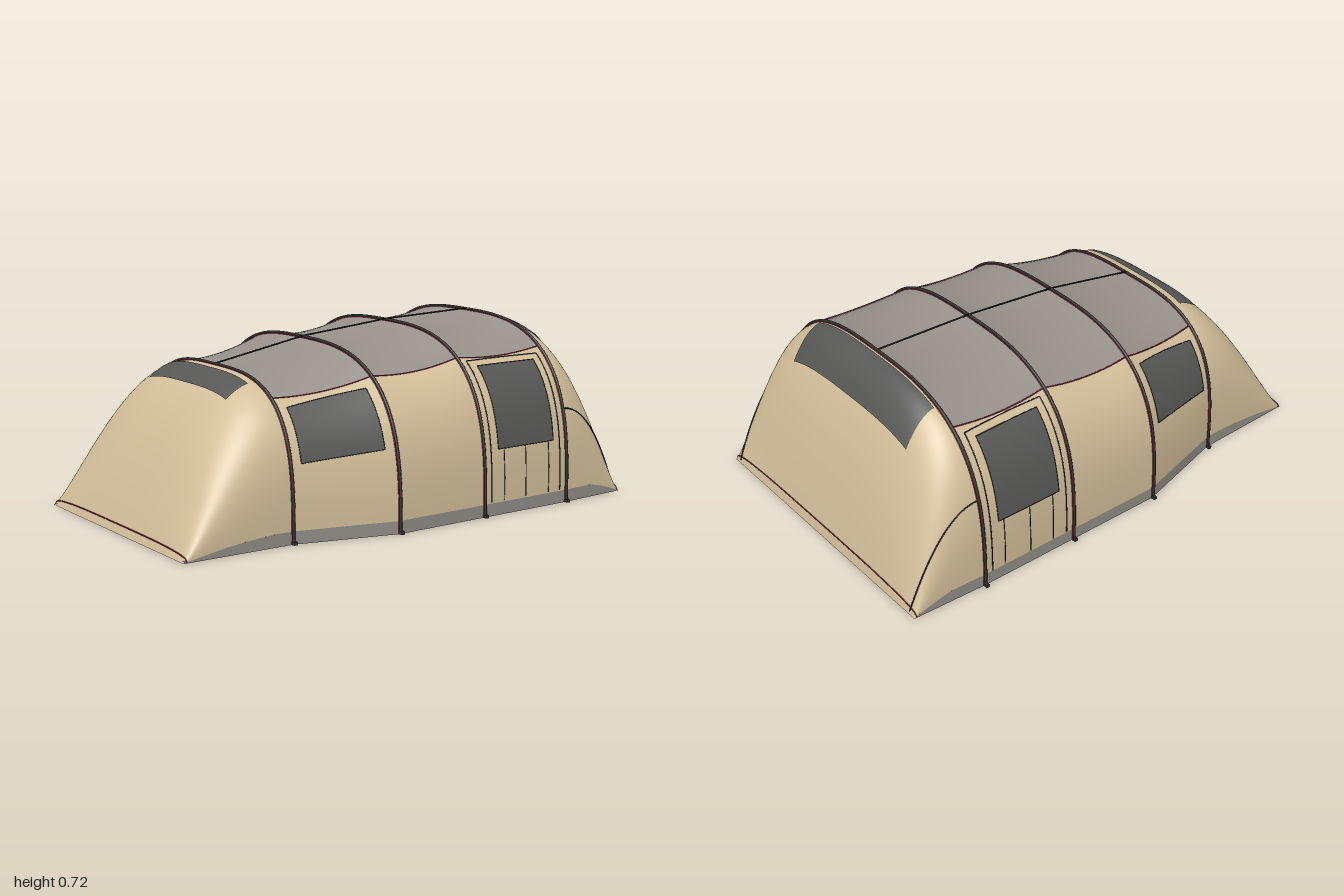
import * as THREE from 'three';

const mat = (name, color) => {
  const m = new THREE.MeshStandardMaterial({ color, side: THREE.DoubleSide });
  m.name = name;
  return m;
};

// Key stations along the tent: [z, half width, ridge height, arch exponent]
const KEYS = [
  [-1, 0.62, 0, 3], [-0.69, 0.635, 0.706, 3], [-0.265, 0.635, 0.695, 3],
  [0.145, 0.635, 0.66, 3], [0.55, 0.526, 0.589, 3.3], [1, 0.51, 0, 3.3],
];
const RIBS = [-0.69, -0.265, 0.145, 0.55];
const SAG = [0, 0.03, 0.028, 0.02, 0]; // roof dip between ribs
const FULL = [0, 0.32, 0.2, 0, 0]; // squarer arch between ribs
const SEAM = 0.882; // arch angle where roof meets wall

// Arch section at z: domed ends, sagging roof between the ribs
function section(z) {
  z = Math.min(1, Math.max(-1, z));
  let i = 0;
  while (i < 4 && z > KEYS[i + 1][0]) i++;
  const a = KEYS[i], b = KEYS[i + 1], t = (z - a[0]) / (b[0] - a[0]);
  const mix = (k) => a[k] + (b[k] - a[k]) * t, bow = 4 * t * (1 - t);
  let h = mix(2) - SAG[i] * bow;
  if (i === 0) h = b[2] * (1 - Math.pow(1 - t, 2.1));
  if (i === 4) h = a[2] * (1 - Math.pow(t, 1.9));
  return { w: mix(1), h, n: mix(3) + FULL[i] * bow };
}

function rawPoint(z, phi) {
  const { w, h, n } = section(z), c = Math.cos(phi), s = Math.sin(phi);
  const r = Math.pow(Math.abs(c) ** n + Math.abs(s) ** n, -1 / n);
  return new THREE.Vector3(w * c * r, h * s * r, z);
}

// Point on the shell, pushed outwards by off
function point(z, phi, off = 0) {
  const p = rawPoint(z, phi);
  if (!off) return p;
  const e = 0.002, z0 = Math.max(-1, z - e), z1 = Math.min(1, z + e);
  const dPhi = rawPoint(z, phi + e).sub(rawPoint(z, phi - e));
  const dZ = rawPoint(z1, phi).sub(rawPoint(z0, phi));
  return p.addScaledVector(dPhi.cross(dZ).normalize(), off);
}

// Arch angle for a given height or a given x
function phiAtY(z, y) {
  const { h, n } = section(z), q = Math.min(1, y / h);
  return Math.atan2(q, Math.pow(1 - q ** n, 1 / n));
}
function phiAtX(z, x) {
  const { w, n } = section(z), q = Math.abs(x) / w;
  const phi = Math.atan2(Math.pow(1 - q ** n, 1 / n), q);
  return x < 0 ? Math.PI - phi : phi;
}

export function createModel() {
  const tent = new THREE.Group();
  tent.name = 'tunnelTent';
  const canvas = mat('sand canvas', 0xd2be99);
  const roofGrey = mat('roof grey', 0x98918b);
  const skirtGrey = mat('skirt grey', 0x928d86);
  const mesh = mat('window mesh', 0x575755);
  const pole = mat('pole charcoal', 0x35332f);
  const trim = mat('maroon trim', 0x80263c);
  const line = mat('black seam', 0x1c1c1c);
  const ground = mat('groundsheet', 0x8c8480);
  const inner = mat('inner tent grey', 0xa29d95);

  const add = (name, geo, material) => {
    const m = new THREE.Mesh(geo, material);
    m.name = name;
    tent.add(m);
    return m;
  };

  // Curved panel between z0 and z1, bounded by two angle functions
  const patch = (name, material, z0, z1, from, to, nz, na, off = 0) => {
    const pos = [], idx = [];
    for (let i = 0; i <= nz; i++) {
      const z = z0 + (z1 - z0) * i / nz, a = from(z), b = to(z);
      for (let j = 0; j <= na; j++) {
        pos.push(...point(z, a + (b - a) * j / na, off).toArray());
        if (i < nz && j < na) {
          const k = i * (na + 1) + j, l = k + na + 1;
          idx.push(k, k + 1, l, k + 1, l + 1, l);
        }
      }
    }
    const g = new THREE.BufferGeometry();
    g.setAttribute('position', new THREE.Float32BufferAttribute(pos, 3));
    g.setIndex(idx);
    g.computeVertexNormals();
    return add(name, g, material);
  };

  const cord = (name, material, pts, r) =>
    add(name, new THREE.TubeGeometry(new THREE.CatmullRomCurve3(pts), Math.max(2, pts.length * 2), r, 8), material);

  // Cord following the shell from t = 0 to 1
  const shellCord = (name, material, fz, fphi, r, off = 0.003, n = 20) => {
    const pts = [];
    for (let i = 0; i <= n; i++) {
      const z = fz(i / n);
      pts.push(point(z, fphi(i / n, z), off));
    }
    return cord(name, material, pts, r);
  };

  const endSkirt = phiAtY(0.55, 0.05);
  const skirt = (z) => (Math.abs(z) > 0.999 ? endSkirt : phiAtY(z, 0.05 * Math.min(1, section(z).h / 0.57)));

  // Fabric shell, bay by bay
  for (let i = 0; i < 5; i++) {
    const z0 = KEYS[i][0], z1 = KEYS[i + 1][0], end = i === 0 || i === 4;
    const bay = ['backDome', 'rearBay', 'middleBay', 'frontBay', 'frontDome'][i];
    if (end) patch(bay, canvas, z0, z1, skirt, (z) => Math.PI - skirt(z), 28, 64);
    else patch(bay + 'Roof', roofGrey, z0, z1, () => SEAM, () => Math.PI - SEAM, 14, 32);
    for (const left of [true, false]) {
      const side = (f) => (z) => (left ? f(z) : Math.PI - f(z));
      const lo = side(skirt), hi = side(() => SEAM), zero = side(() => 0);
      const [a, b] = left ? [lo, hi] : [hi, lo];
      const [c, d] = left ? [zero, lo] : [lo, zero];
      if (!end) patch(bay + 'Wall', canvas, z0, z1, a, b, 14, 22);
      patch(bay + 'Skirt', skirtGrey, z0, z1, c, d, 14, 2);
    }
  }

  // Pole sleeves with trim on both edges, and foot pegs
  for (const z of RIBS) {
    shellCord('poleSleeve', pole, () => z, (t) => Math.PI * t, 0.0055, 0.005, 48);
    for (const d of [-0.006, 0.006])
      shellCord('sleeveTrim', trim, () => z + d, (t) => Math.PI * t, 0.002, 0.003, 48);
    for (const s of [-1, 1]) {
      const peg = add('footPeg', new THREE.BoxGeometry(0.022, 0.012, 0.014), pole);
      peg.position.set(s * (section(z).w + 0.008), 0.007, z);
    }
  }

  // Ridge line strung straight from pole to pole
  for (let i = 0; i < 3; i++)
    cord('ridgeLine', line, [RIBS[i], RIBS[i + 1]].map((z) => new THREE.Vector3(0, section(z).h + 0.007, z)), 0.0035);

  // Hem trim along the foot of both domes
  for (const z of [-0.99, 0.987])
    shellCord('hemTrim', trim, () => z, (t) => 0.1 + (Math.PI - 0.2) * t, 0.0025, 0.002, 40);

  // Windows are a thin panel on each face of the fabric
  const windowPanels = (name, z0, z1, from, to) => {
    for (const off of [0.004, -0.003]) patch(name, mesh, z0, z1, from, to, 10, 24, off);
  };
  const domeWindow = (name, z0, z1, x) =>
    windowPanels(name, z0, z1, (z) => phiAtX(z, x), (z) => phiAtX(z, -x));
  domeWindow('frontWindow', 0.585, 0.68, 0.285);
  domeWindow('backWindow', -0.83, -0.705, 0.37);

  // Details mirrored on both walls
  for (const left of [true, false]) {
    const flip = (phi) => (left ? phi : Math.PI - phi);
    const atY = (z, y) => flip(phiAtY(z, y));
    const wallWindow = (name, z0, z1, lo, hi) => {
      const [a, b] = left ? [lo, hi] : [hi, lo];
      windowPanels(name, z0, z1, (z) => atY(z, a(z)), (z) => atY(z, b(z)));
      for (const f of [lo, hi])
        shellCord(name + 'Edge', line, (t) => z0 + (z1 - z0) * t, (t, z) => atY(z, f(z)), 0.0015, 0.004, 10);
      for (const z of [z0, z1])
        shellCord(name + 'Edge', line, () => z, (t) => atY(z, lo(z) + (hi(z) - lo(z)) * t), 0.0015, 0.004, 10);
    };
    const ramp = (a, b) => (z) => a + (b - a) * (0.51 - z) / 0.32;
    wallWindow('sideWindow', 0.19, 0.51, ramp(0.295, 0.32), ramp(0.485, 0.53));
    wallWindow('doorWindow', -0.62, -0.335, () => 0.26, () => 0.565);

    // Door outline and zips
    for (const z of [-0.655, -0.3])
      shellCord('doorSeam', line, () => z, (t) => atY(z, 0.055 + 0.53 * t), 0.002, 0.002);
    for (const z of [-0.595, -0.475, -0.365])
      shellCord('doorZip', line, () => z, (t) => atY(z, 0.055 + 0.205 * t), 0.0015, 0.002);
    shellCord('doorTop', line, (t) => -0.655 + 0.355 * t, (t, z) => atY(z, 0.585), 0.002, 0.002);

    // Roof edge trim and back dome seam
    for (let i = 0; i < 3; i++)
      shellCord('roofTrim', trim, (t) => RIBS[i] + (RIBS[i + 1] - RIBS[i]) * t, () => flip(SEAM), 0.0025, 0.001);
    shellCord('domeSeam', line, (t) => -0.7 - 0.295 * t, () => atY(-0.69, 0.375), 0.0025, 0.002);
  }

  // Inner room: groundsheet and partition with a door
  const sheet = add('groundsheet', new THREE.BoxGeometry(1.02, 0.006, 0.765), ground);
  sheet.position.set(0, 0.004, 0.6125);
  const outline = [];
  for (let i = 0; i <= 40; i++) {
    const p = point(0.23, Math.PI * i / 40);
    outline.push(new THREE.Vector2(p.x * 0.87, p.y * 0.93 + 0.004));
  }
  add('partition', new THREE.ShapeGeometry(new THREE.Shape(outline)), inner).position.z = 0.23;
  const corners = [[-0.3, 0.01], [-0.23, 0.5], [0.23, 0.5], [0.3, 0.01]].map(([x, y]) => new THREE.Vector3(x, y, 0.227));
  for (let i = 0; i < 3; i++) cord('partitionZip', line, [corners[i], corners[i + 1]], 0.002);

  return tent;
}
